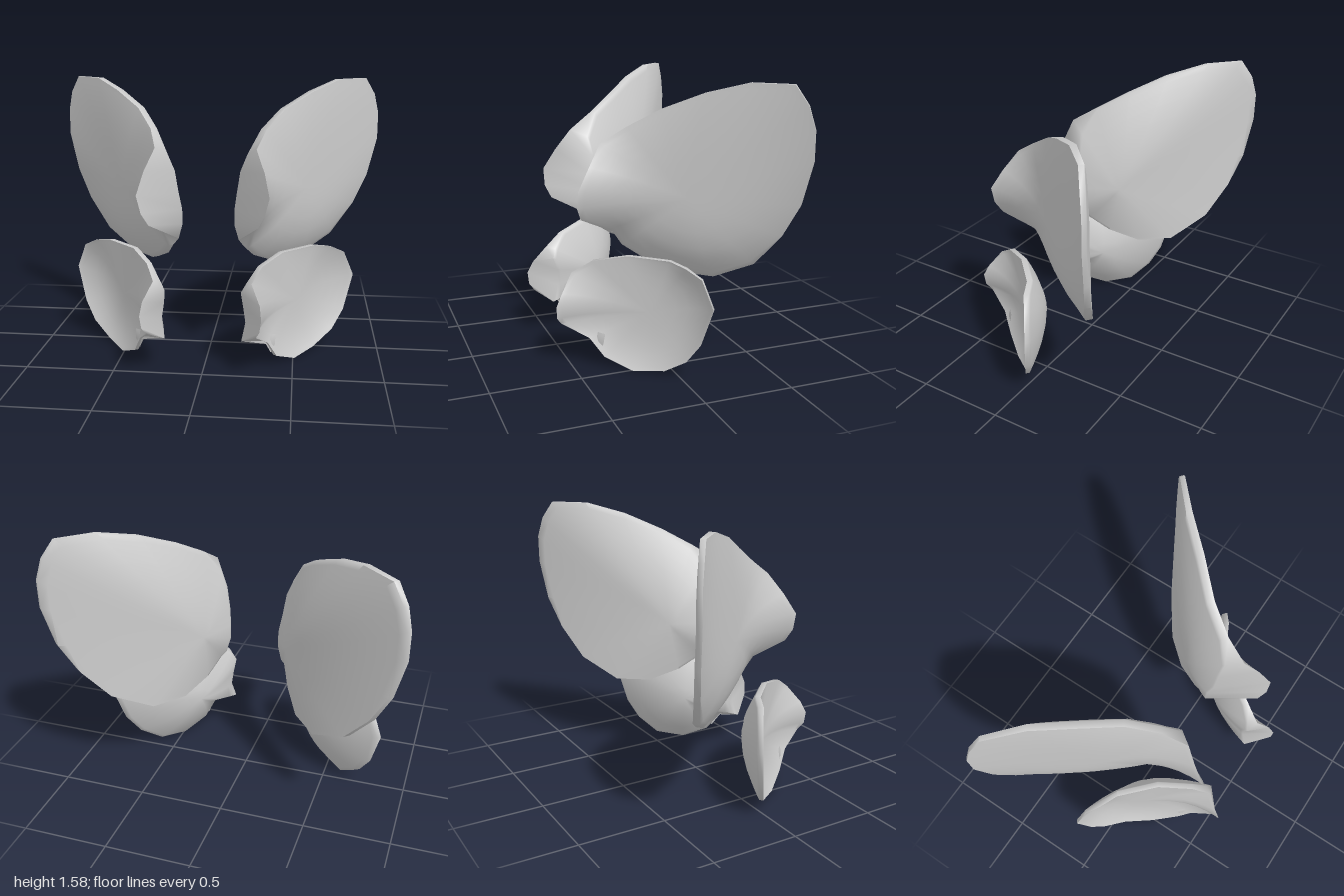
import * as THREE from 'three';
import { toCreasedNormals } from 'three/addons/utils/BufferGeometryUtils.js';

const material = new THREE.MeshStandardMaterial({ color: 0xcccccc, side: THREE.DoubleSide });
// Wing blades face forward and outward
const NX = 0.78, NZ = 0.62;

// front, back: the middle of each face and how sharply it eases into the rim.
// Outline counter-clockwise from the tip. Thin rim points: x, y, z, half thickness.
// Points of the cut root end: front edge x, y, z, then back edge x, y, z.
const UPPER = {
  front: { centre: [0.56, 0.96, -0.09], ease: 3 },
  back: { centre: [0.25, 0.87, -0.04], ease: 1.7 },
  outline: [
    [0.99, 1.2, -0.575, 0.012], [0.99, 1.36, -0.575, 0.012], [0.96, 1.48, -0.55, 0.014], [0.9, 1.58, -0.505, 0.015],
    [0.73, 1.58, -0.35, 0.018], [0.57, 1.52, -0.17, 0.02], [0.41, 1.43, 0.0, 0.02], [0.31, 1.33, 0.16, 0.02],
    [0.28, 1.24, 0.31, 0.225, 1.2, 0.22], [0.33, 1.12, 0.39, 0.185, 1.1, 0.21],
    [0.36, 1.0, 0.46, 0.165, 0.97, 0.2], [0.335, 0.9, 0.46, 0.15, 0.87, 0.17],
    [0.3, 0.83, 0.43, 0.15, 0.78, 0.16], [0.25, 0.75, 0.24, 0.175, 0.69, 0.15],
    [0.22, 0.65, 0.16, 0.015], [0.27, 0.57, 0.04, 0.02],
    [0.36, 0.5, -0.12, 0.02], [0.5, 0.495, -0.28, 0.02], [0.7, 0.61, -0.42, 0.02], [0.84, 0.79, -0.5, 0.018],
    [0.93, 0.97, -0.55, 0.015],
  ],
};
const LOWER = {
  front: { centre: [0.515, 0.33, 0.11], ease: 3 },
  back: { centre: [0.34, 0.33, 0.12], ease: 1.7 },
  outline: [
    [0.84, 0.43, -0.115, 0.012], [0.78, 0.58, -0.075, 0.012], [0.7, 0.625, -0.02, 0.015], [0.6, 0.643, 0.03, 0.015],
    [0.42, 0.64, 0.2, 0.015], [0.31, 0.6, 0.37, 0.015],
    [0.27, 0.53, 0.48, 0.24, 0.52, 0.43], [0.32, 0.43, 0.55, 0.21, 0.47, 0.45],
    [0.33, 0.36, 0.585, 0.22, 0.39, 0.42], [0.32, 0.29, 0.58, 0.235, 0.29, 0.42],
    [0.3, 0.25, 0.55, 0.215, 0.19, 0.455], [0.35, 0.17, 0.4, 0.015],
    [0.4, 0.065, 0.33, 0.012], [0.5, 0.003, 0.2, 0.012], [0.61, 0.025, 0.06, 0.012], [0.72, 0.11, -0.02, 0.012],
    [0.785, 0.22, -0.07, 0.012],
  ],
};

function makeMesh(positions, index, name) {
  const g = new THREE.BufferGeometry();
  g.setAttribute('position', new THREE.Float32BufferAttribute(positions, 3));
  g.setIndex(index);
  const mesh = new THREE.Mesh(toCreasedNormals(g, 1.25), material);
  mesh.name = name;
  return mesh;
}

// Edge of the front (sign 1) or back (sign -1) face at one outline point
function edgePoint([x, y, z, ...rest], sign) {
  if (rest.length === 3) return sign > 0 ? [x, y, z] : rest;
  return [x + NX * rest[0] * sign, y, z + NZ * rest[0] * sign];
}

// Nested copies of the outline run over the front face, round the rim and over the back face
function wing({ front, back, outline }, side, name) {
  const steps = [0, 0.2, 0.4, 0.6, 0.75, 0.87, 0.95, 1];
  const rings = [...steps.map(t => [t, 1]), ...[...steps].reverse().map(t => [t, -1])];
  const n = outline.length, positions = [], index = [];
  for (const [t, sign] of rings) {
    const { centre, ease } = sign > 0 ? front : back;
    for (const point of outline) {
      const [dx, dy, dz] = edgePoint(point, sign).map((v, i) => v - centre[i]);
      // The height along the wing's normal eases from the middle to the rim
      const h = (NX * dx + NZ * dz) * (t ** ease - t);
      positions.push(side * (centre[0] + dx * t + NX * h), centre[1] + dy * t, centre[2] + dz * t + NZ * h);
    }
  }
  const face = (a, b, c) => side > 0 ? index.push(a, b, c) : index.push(a, c, b);
  for (let i = 0; i < rings.length - 1; i++) {
    for (let j = 0; j < n; j++) {
      const k = (j + 1) % n;
      const a = i * n + j, b = a + n, c = (i + 1) * n + k, d = i * n + k;
      if (i < rings.length - 2) face(a, b, c);
      if (i > 0) face(a, c, d);
    }
  }
  return makeMesh(positions, index, name);
}

// Small folded flap at the root of each lower wing
function rootFlap(side, name) {
  const points = [
    [0.22, 0.19, 0.455], [0.29, 0.215, 0.44], [0.4, 0.195, 0.33],
    [0.35, 0.16, 0.4], [0.4, 0.14, 0.34], [0.375, 0.09, 0.35],
  ];
  const index = [0, 3, 1, 1, 3, 2, 3, 4, 2, 3, 5, 4];
  if (side < 0) index.reverse();
  return makeMesh(points.flatMap(([x, y, z]) => [side * x, y, z]), index, name);
}

export function createModel() {
  const model = new THREE.Group();
  model.name = 'wings';
  for (const [side, label] of [[1, 'left'], [-1, 'right']]) {
    model.add(
      wing(UPPER, side, label + 'UpperWing'),
      wing(LOWER, side, label + 'LowerWing'),
      rootFlap(side, label + 'RootFlap'));
  }
  return model;
}
